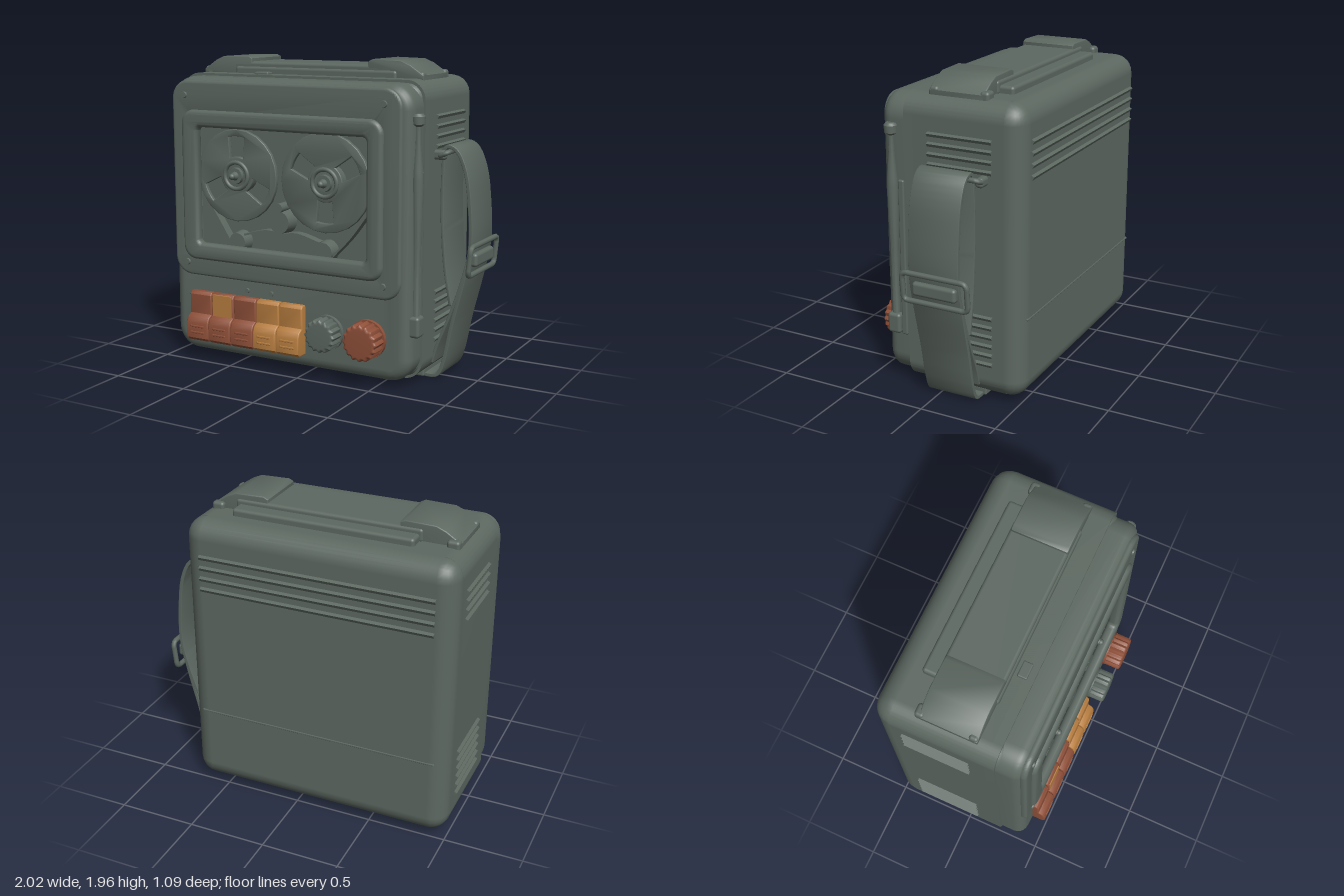
import * as THREE from 'three';
import { toCreasedNormals } from 'three/addons/utils/BufferGeometryUtils.js';
import { RoundedBoxGeometry } from 'three/addons/geometries/RoundedBoxGeometry.js';

const mat = (name, color) => Object.assign(new THREE.MeshStandardMaterial({ color }), { name });

// Rounded rectangle outline from its edges
function roundRect(x0, x1, y0, y1, r, Kind = THREE.Shape) {
  const s = new Kind();
  s.moveTo(x0 + r, y0);
  s.lineTo(x1 - r, y0).absarc(x1 - r, y0 + r, r, -Math.PI / 2, 0, false);
  s.lineTo(x1, y1 - r).absarc(x1 - r, y1 - r, r, 0, Math.PI / 2, false);
  s.lineTo(x0 + r, y1).absarc(x0 + r, y1 - r, r, Math.PI / 2, Math.PI, false);
  s.lineTo(x0, y0 + r).absarc(x0 + r, y0 + r, r, Math.PI, Math.PI * 1.5, false);
  return s;
}

// Solid of a shape between z0 and z1, with an inward bevel
function slab(shape, z0, z1, bevel = 0, thick = bevel) {
  const g = new THREE.ExtrudeGeometry(shape, {
    depth: z1 - z0 - 2 * thick, bevelEnabled: bevel > 0, bevelSize: bevel, bevelThickness: thick,
    bevelOffset: -bevel, bevelSegments: 5, curveSegments: 12,
  });
  g.translate(0, 0, z0 + thick);
  return toCreasedNormals(g, 0.6);
}

// Band outline: a curve in the xy plane thickened to both sides
function bandShape(points, half) {
  const c = new THREE.CatmullRomCurve3(points.map(([x, y]) => new THREE.Vector3(x, y, 0)));
  const a = [], b = [];
  for (let i = 0; i <= 40; i++) {
    const p = c.getPoint(i / 40), t = c.getTangent(i / 40);
    a.push(new THREE.Vector2(p.x - t.y * half, p.y + t.x * half));
    b.unshift(new THREE.Vector2(p.x + t.y * half, p.y - t.x * half));
  }
  return new THREE.Shape([...a, ...b]);
}

export function createModel() {
  const group = new THREE.Group();
  const green = mat('grey green', 0x5d6861);
  const brown = mat('rust brown', 0x8f5039);
  const amber = mat('amber', 0xb87e40);

  const add = (name, geo, material = green, x = 0, y = 0, z = 0, parent = group) => {
    const m = new THREE.Mesh(geo, material);
    m.name = name;
    m.position.set(x, y, z);
    parent.add(m);
    return m;
  };
  // Rounded box given by its six limits
  const block = (name, x0, x1, y0, y1, z0, z1, r = 0.015, material = green) =>
    add(name, new RoundedBoxGeometry(x1 - x0, y1 - y0, z1 - z0, 3, r), material,
      (x0 + x1) / 2, (y0 + y1) / 2, (z0 + z1) / 2);
  // Cylinder pointing to the front, from z0 to z1
  const disc = (name, x, y, z0, z1, r0, r1 = r0, material = green, sides = 32) =>
    add(name, new THREE.CylinderGeometry(r1, r0, z1 - z0, sides).rotateX(Math.PI / 2),
      material, x, y, (z0 + z1) / 2);

  // Case: rear shell, straight band up to the seam, front shell with a window well
  block('rearShell', -1, 0.73, 0.03, 1.85, -0.53, 0.3, 0.12);
  add('caseBand', slab(roundRect(-1, 0.73, 0.03, 1.85, 0.12), -0.41, 0.24));
  const front = roundRect(-0.99, 0.72, 0.04, 1.835, 0.15);
  front.holes.push(roundRect(-0.83, 0.5, 0.72, 1.57, 0.04, THREE.Path));
  add('frontShell', slab(front, 0.1, 0.405, 0.07));

  // Front panel and raised window frame
  const windowHole = () => roundRect(-0.77, 0.44, 0.77, 1.52, 0.03, THREE.Path);
  const panel = roundRect(-0.97, 0.665, 0.55, 1.815, 0.12);
  panel.holes.push(roundRect(-0.8, 0.47, 0.74, 1.55, 0.03, THREE.Path));
  add('frontPanel', slab(panel, 0.37, 0.42, 0.02));
  const frame = roundRect(-0.89, 0.55, 0.66, 1.63, 0.09);
  frame.holes.push(windowHole());
  add('windowFrame', slab(frame, 0.37, 0.445, 0.03));
  for (const x of [-0.87, 0.55]) for (const y of [0.635, 1.72])
    disc('panelScrew', x, y, 0.41, 0.43, 0.025, 0.018, green, 12);

  // Tape reels: discs with three openings, hub and spindle
  function reel(x, y, r, turn) {
    const s = new THREE.Shape().absarc(0, 0, r, 0, Math.PI * 2, false);
    for (let i = 0; i < 3; i++) {
      const a = turn + i * Math.PI * 2 / 3, h = new THREE.Path();
      h.absarc(0, 0, 0.25, a - 0.24, a + 0.24, false);
      h.absarc(0, 0, 0.12, a + 0.42, a - 0.42, true);
      h.closePath();
      s.holes.push(h);
    }
    add('tapeReel', slab(s, 0.345, 0.375, 0.006), green, x, y);
    disc('tapePack', x, y, 0.29, 0.345, 0.11);
    add('hubRing', new THREE.TorusGeometry(0.085, 0.014, 10, 32), green, x, y, 0.38);
    disc('hub', x, y, 0.34, 0.395, 0.06, 0.05);
    disc('spindle', x, y, 0.39, 0.425, 0.03, 0.018, green, 16);
    add('spindleTip', new THREE.SphereGeometry(0.02, 16, 10), green, x, y, 0.427);
  }
  reel(-0.51, 1.22, 0.295, Math.PI / 2);
  reel(0.13, 1.22, 0.31, -Math.PI / 2);

  // Tape guides and the tape running between them
  disc('captsanRoller', -0.19, 0.95, 0.29, 0.39, 0.08, 0.07).name = 'capstanRoller';
  disc('capstanPin', -0.19, 1.04, 0.29, 0.4, 0.03);
  for (const x of [-0.51, 0.12]) disc('guideRoller', x, 0.79, 0.29, 0.38, 0.07, 0.06);
  for (const p of [[[-0.76, 1.06], [-0.65, 0.9], [-0.56, 0.76]], [[0.42, 1.06], [0.3, 0.9], [0.17, 0.76]],
    [[-0.47, 0.84], [-0.3, 0.88], [-0.19, 0.87], [-0.08, 0.88], [0.08, 0.84]]])
    add('tape', slab(bandShape(p, 0.006), 0.29, 0.36));

  // Piano keys: side profile extruded across the width
  const key = new THREE.Shape();
  key.moveTo(0.38, 0.13);
  for (const [z, y] of [[0.475, 0.13], [0.495, 0.15], [0.495, 0.25], [0.48, 0.285], [0.45, 0.305],
    [0.45, 0.43], [0.435, 0.45], [0.38, 0.45]]) key.lineTo(z, y);
  const keyGeo = slab(key, -0.083, 0.083, 0.01).rotateY(-Math.PI / 2);
  [brown, brown, brown, amber, amber].forEach((m, i) => {
    const x = -0.756 + i * 0.17;
    add('pianoKey', keyGeo, m, x);
    for (const y of [0.18, 0.22]) block('keyRidge', x - 0.05, x + 0.05, y, y + 0.014, 0.485, 0.499, 0.004, m);
  });
  block('keyTopPlate', -0.66, -0.515, 0.3, 0.445, 0.446, 0.454, 0.003, amber);

  // Control knobs with fluted rims
  for (const [x, r, z, m] of [[0.17, 0.1, 0.53, green], [0.45, 0.11, 0.54, brown]]) {
    disc('knobSkirt', x, 0.3, 0.39, 0.43, r + 0.01, r + 0.01, m);
    const s = new THREE.Shape();
    for (let i = 0; i < 96; i++) {
      const a = i / 96 * Math.PI * 2, q = r + 0.006 * Math.cos(a * 16);
      s[i ? 'lineTo' : 'moveTo'](q * Math.cos(a), q * Math.sin(a));
    }
    s.closePath();
    add('knob', slab(s, 0.39, z, 0.018), m, x, 0.3);
  }
  for (const x of [-0.42, -0.24]) disc('indicator', x, 0.49, 0.39, 0.415, 0.02, 0.015, green, 12);

  // Carrying handle on top with a clamp at each end
  block('handleBase', -0.68, 0.48, 1.82, 1.895, -0.35, 0.12, 0.02);
  block('handleGrip', -0.7, 0.5, 1.84, 1.925, -0.26, 0.11, 0.02);
  for (const side of [-1, 1]) {
    const cx = -0.135, pts = [[0.42, 1.84], [0.42, 1.945], [0.45, 1.96], [0.64, 1.955], [0.7, 1.93], [0.79, 1.87], [0.79, 1.84]]
      .map(([x, y]) => new THREE.Vector2(cx + side * x, y));
    if (side > 0) pts.reverse();
    add('handleClamp', slab(new THREE.Shape(pts), -0.25, 0.11, 0.008));
    for (const z of [-0.25, 0.08])
      block('clampLug', cx + side * 0.75 - 0.04, cx + side * 0.75 + 0.04, 1.82, 1.89, z - 0.03, z + 0.03, 0.02);
  }
  block('topSwitch', -0.48, -0.38, 1.84, 1.865, 0.14, 0.2, 0.008);

  // Louvres on both sides and across the back
  const slat = (w, h, d, x, y, z, rx, rz) =>
    add('louvre', new THREE.BoxGeometry(w, h, d), green, x, y, z).rotation.set(rx, 0, rz);
  for (const [x, tilt] of [[0.73, -0.5], [-1, 0.5]])
    for (const y of [1.45, 1.51, 1.57, 1.63, 0.25, 0.31, 0.37, 0.43, 0.49, 0.55])
      slat(0.03, 0.02, 0.42, x, y, -0.13, 0, tilt);
  for (const y of [1.42, 1.49, 1.56, 1.63]) slat(1.5, 0.022, 0.03, -0.135, y, -0.53, -0.5, 0);
  block('backSeam', -0.92, 0.65, 0.545, 0.557, -0.535, -0.5, 0.003);

  // Folded antenna with its pivot and channel
  const rod = [[0, 0.34], [0.032, 0.35], [0.032, 0.42], [0.022, 0.46], [0.026, 0.9], [0.036, 1.28], [0.034, 1.33],
    [0.018, 1.5], [0.018, 1.59], [0.04, 1.605], [0.042, 1.65], [0.03, 1.665], [0, 1.665]];
  add('antenna', toCreasedNormals(new THREE.LatheGeometry(rod.map(p => new THREE.Vector2(...p)), 16), 0.6),
    green, 0.727, 0, 0.33);
  block('antennaPivot', 0.68, 0.765, 0.33, 0.46, 0.285, 0.375, 0.02);
  block('antennaChannel', 0.7, 0.735, 0.32, 1.32, 0.25, 0.29, 0.01);

  // Shoulder strap: outer and inner run
  const outer = [[0.77, 1.4], [0.8, 1.45], [0.86, 1.43], [0.92, 1.31], [0.952, 1.1], [0.96, 0.85], [0.92, 0.64],
    [0.85, 0.36], [0.785, 0.07], [0.75, 0.022], [0.65, 0.016], [0.4, 0.016]];
  const inner = [[0.77, 1.41], [0.765, 1.1], [0.785, 0.75], [0.83, 0.47]];
  const back = [[0.955, 0.8], [0.9, 0.6], [0.83, 0.4], [0.75, 0.2], [0.72, 0.1]];
  add('strapOuter', slab(bandShape(outer, 0.012), -0.25, 0.08, 0.004));
  add('strapInner', slab(bandShape(inner, 0.01), -0.25, 0.06, 0.004));
  add('strapReturn', slab(bandShape(back, 0.009), -0.25, 0.08, 0.004));

  // Wire loops: anchor ring and buckle
  function loop(name, z0, z1, y0, y1, x, r, lean) {
    const zc = (z0 + z1) / 2, yc = (y0 + y1) / 2, w = (z1 - z0) / 2, h = (y1 - y0) / 2;
    const pts = roundRect(-w, w, -h, h, 0.03).getSpacedPoints(48).slice(0, -1)
      .map(p => new THREE.Vector3(0, p.y, p.x));
    add(name, new THREE.TubeGeometry(new THREE.CatmullRomCurve3(pts, true), 96, r, 8, true),
      green, x, yc, zc).rotation.z = lean;
  }
  loop('buckle', -0.31, 0.12, 0.68, 0.86, 0.975, 0.017, -0.1);
  block('buckleBar', 0.945, 0.995, 0.725, 0.81, -0.24, 0.05, 0.02);
  loop('anchorRing', -0.3, 0.1, 1.37, 1.44, 0.785, 0.016, -1.1);
  for (const z of [-0.29, 0.08]) block('anchorLug', 0.7, 0.8, 1.37, 1.43, z - 0.025, z + 0.025, 0.02);

  // Feet and the plate beneath
  for (const x of [-0.91, 0.34]) block('foot', x, x + 0.34, 0.005, 0.06, -0.27, 0.1, 0.012);
  block('bottomPlate', -0.62, 0.4, 0.015, 0.06, -0.3, 0.12, 0.01);
  block('bottomCatch', 0.42, 0.52, 0.01, 0.06, -0.37, -0.3, 0.012);

  return group;
}
